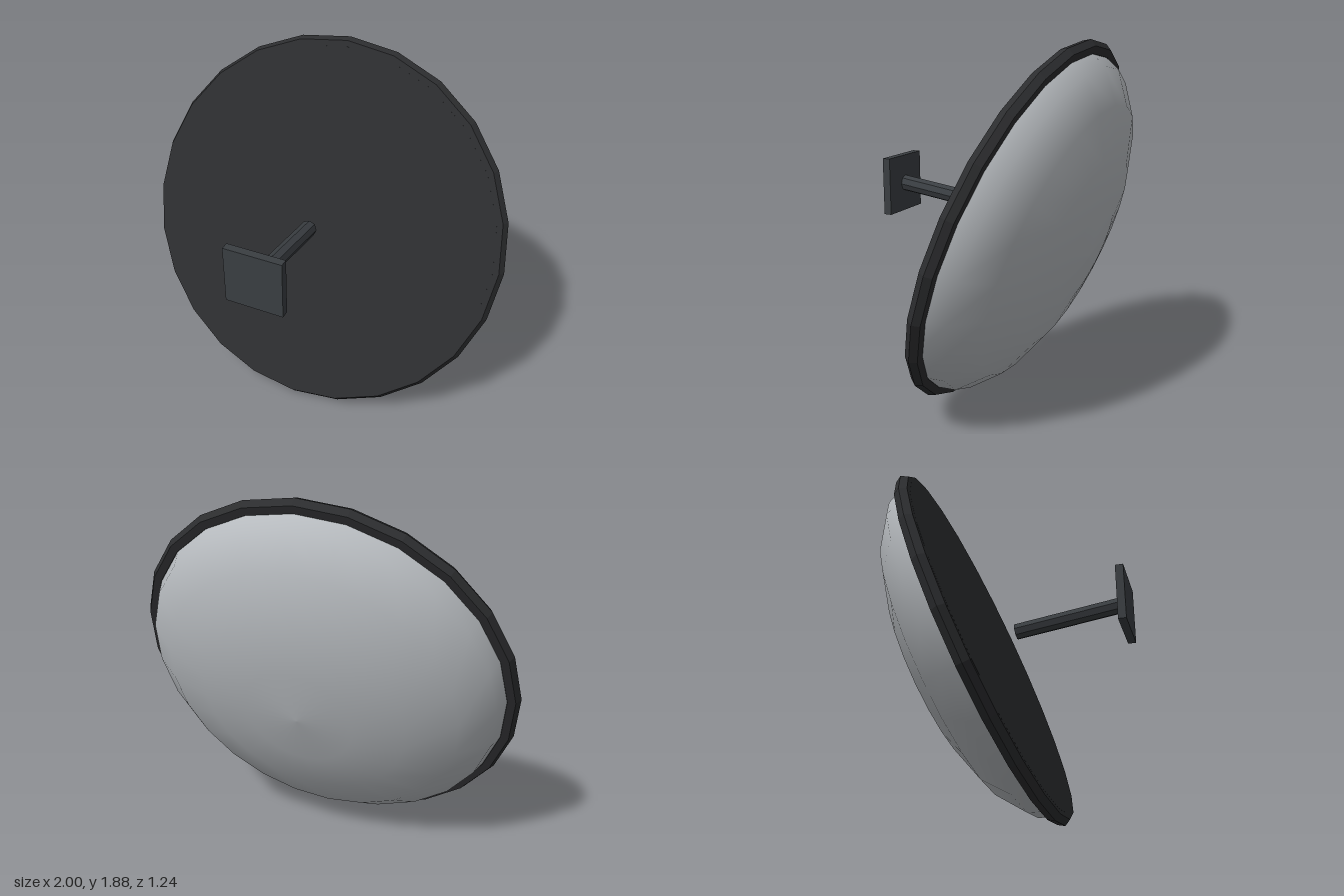
import * as THREE from 'three';

const SIDES = 24;

function part(name, geometry, material) {
  const mesh = new THREE.Mesh(geometry, material);
  mesh.name = name;
  return mesh;
}

export function createModel() {
  const model = new THREE.Group();
  model.name = 'convexMirror';

  const dark = new THREE.MeshStandardMaterial({ color: 0x2c2d2f, flatShading: true });
  const steel = new THREE.MeshStandardMaterial({ color: 0x3a3e42, flatShading: true });
  const glass = new THREE.MeshStandardMaterial({ color: 0xb8bcc0 });

  // Tilted mirror head, its axis along local z
  const head = new THREE.Group();
  head.name = 'mirrorHead';
  head.position.set(0, 0.943, -0.138);
  head.rotation.x = THREE.MathUtils.degToRad(-20);
  model.add(head);

  // Six-sided rim
  head.add(part('rim', new THREE.TorusGeometry(0.96, 0.04, 6, SIDES), dark));

  // Flat plate closing the side towards the mount
  const plate = new THREE.CylinderGeometry(0.95, 0.95, 0.035, SIDES);
  plate.rotateX(Math.PI / 2);
  plate.translate(0, 0, 0.0175);
  head.add(part('backingPlate', plate, dark));

  // Shallow ellipsoid dome, from its edge to its apex
  const profile = [90, 73, 53, 33.5, 17, 0].map((deg) => {
    const a = THREE.MathUtils.degToRad(deg);
    return new THREE.Vector2(0.95 * Math.sin(a), 0.386 * Math.cos(a));
  });
  const dome = new THREE.LatheGeometry(profile, SIDES);
  dome.rotateX(-Math.PI / 2);
  head.add(part('mirrorDome', dome, glass));

  // Wall plate
  const wallPlate = part('wallPlate', new THREE.BoxGeometry(0.305, 0.305, 0.042), steel);
  wallPlate.position.set(0, 1.097, 0.6);
  model.add(wallPlate);

  // Slightly sloping arm
  const from = new THREE.Vector3(0, 1.098, 0.6);
  const to = new THREE.Vector3(0, 1.02, 0.013);
  const arm = part('arm', new THREE.CylinderGeometry(0.043, 0.043, from.distanceTo(to), 8), steel);
  arm.position.copy(from).lerp(to, 0.5);
  arm.quaternion.setFromUnitVectors(new THREE.Vector3(0, 1, 0), to.clone().sub(from).normalize());
  model.add(arm);

  return model;
}
